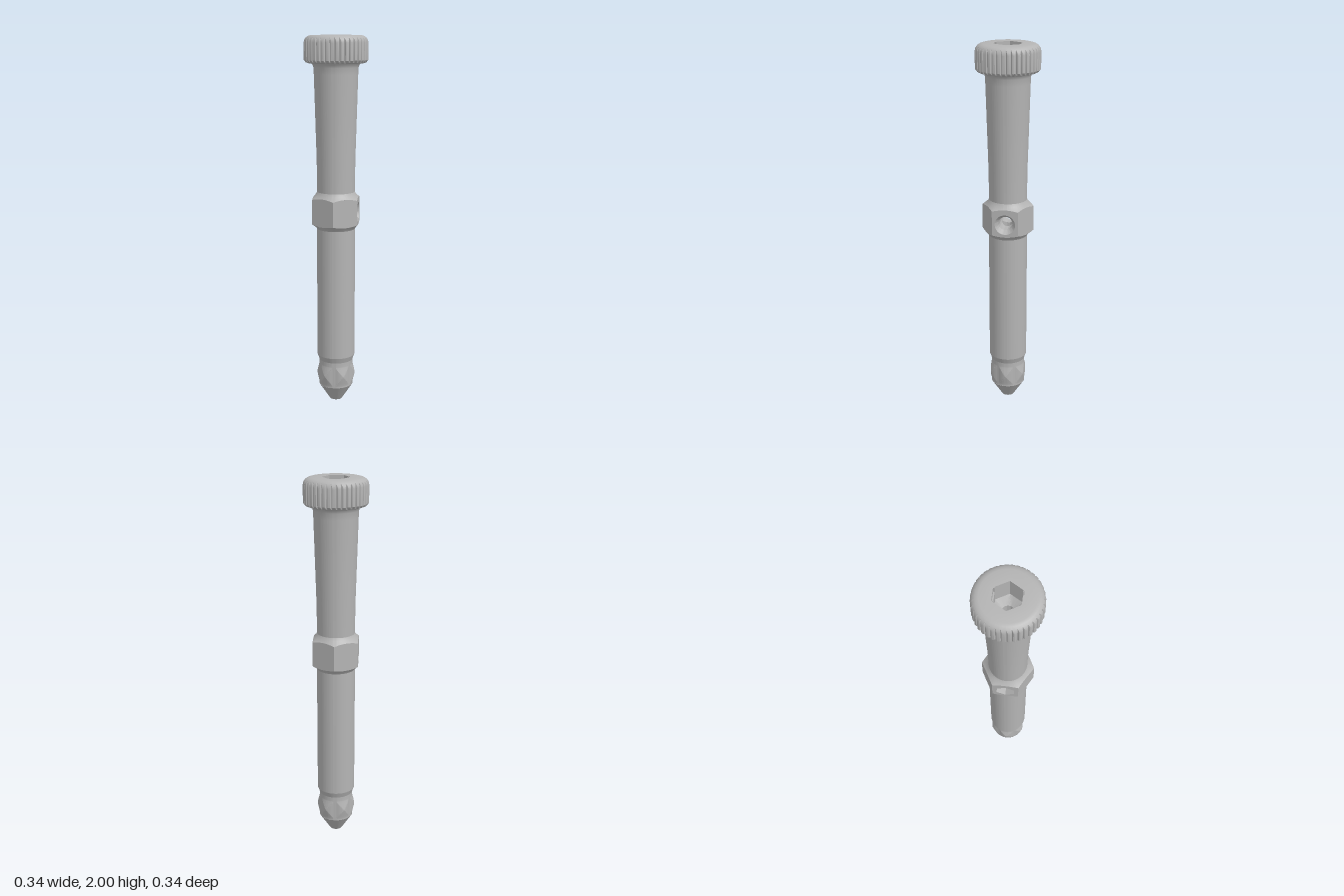
import * as THREE from 'three';
import { toCreasedNormals } from 'three/addons/utils/BufferGeometryUtils.js';

const N = 240, DEG = Math.PI / 180;
const BORE = 0.031, CROSS = 0.037, CROSS_Y = 1.07;   // axial bore and cross hole

// Radius of a hexagon with the given apothem; flats at 30, 90, 150 ... degrees
const hexR = (t, apothem) => {
  const d = ((t / DEG) % 60 + 60) % 60;
  return apothem / Math.cos((d - 30) * DEG);
};

// Skin through rows; each row is [radius, height] or a function angle -> [radius, height]
function loft(rows, crease = 0.5, n = N) {
  const pos = [], idx = [];
  rows.forEach((row, j) => {
    for (let i = 0; i <= n; i++) {
      const t = (i % n) / n * Math.PI * 2;
      const [r, y] = typeof row === 'function' ? row(t) : row;
      pos.push(r * Math.sin(t), y, r * Math.cos(t));
      if (i < n && j < rows.length - 1) {
        const a = j * (n + 1) + i, b = a + n + 1;
        idx.push(a, a + 1, b, a + 1, b + 1, b);
      }
    }
  });
  const g = new THREE.BufferGeometry();
  g.setAttribute('position', new THREE.Float32BufferAttribute(pos, 3));
  g.setIndex(idx);
  return toCreasedNormals(g, crease);
}

export function createModel() {
  const model = new THREE.Group();
  const steel = new THREE.MeshStandardMaterial({ color: 0xb4b4b4, side: THREE.DoubleSide });
  steel.name = 'steel grey';
  const add = (name, geometry) => {
    const m = new THREE.Mesh(geometry, steel);
    m.name = name;
    model.add(m);
    return m;
  };

  // Knurled head: rounded profile cut back by 40 grooves
  const groove = [0, 0, 0.25, 1, 0.25, 0];
  const knurl = (r, y) => t => [
    Math.min(r, 0.168 - 0.009 * groove[Math.round(t / (Math.PI * 2) * N) % 6]), y];
  // Hexagonal socket with two shallow notches at its flats
  const socket = t => hexR(t + 30 * DEG, 0.063);
  const notched = t => Math.abs(Math.tan(t)) < 0.033 / 0.07
    ? 0.07 / Math.abs(Math.cos(t)) : socket(t);
  add('knurledHead', loft([
    [0.122, 1.855], [0.148, 1.857], knurl(0.158, 1.861), knurl(0.168, 1.873),
    knurl(0.168, 1.962), knurl(0.165, 1.976), knurl(0.157, 1.988),
    [0.145, 1.996], [0.13, 2], t => [notched(t), 2],
  ], 0.55));
  add('hexSocket', loft([
    t => [notched(t), 2], t => [notched(t), 1.96], t => [socket(t), 1.96],
    t => [socket(t), 1.87], [BORE, 1.83],
  ]));

  // Tapered upper shaft with a fillet below the head, and straight lower shaft
  add('upperShaft', loft([[0.101, 1.178], [0.103, 1.35], [0.116, 1.8], [0.118, 1.835], [0.122, 1.847], [0.13, 1.857]]));
  add('lowerShaft', loft([[0.092, 0.235], [0.103, 0.265], [0.103, 0.98]], 0.2));

  // Detent ring with six pyramid points
  const detentRows = [];
  for (let k = 0; k <= 26; k++) {
    const y = 0.09 + 0.145 * k / 26;
    detentRows.push(t => {
      const u = ((t / DEG) % 60 - 30) / 26, v = (y - 0.155) / 0.055;
      return [0.092 + 0.013 * Math.max(0, 1 - Math.max(Math.abs(u), Math.abs(v))), y];
    });
  }
  add('detentRing', loft(detentRows, 0.2));

  // Conical tip, open at the bore
  add('tip', loft([[BORE, 0], [0.034, 0], [0.093, 0.09]]));

  // Axial bore, interrupted where the cross hole passes through
  const dip = t => Math.sqrt(Math.max(0, CROSS ** 2 - (BORE * Math.cos(t)) ** 2));
  add('upperBore', loft([[BORE, 1.83], t => [BORE, CROSS_Y + dip(t)]]));
  add('lowerBore', loft([t => [BORE, CROSS_Y - dip(t)], [BORE, 0]]));

  // Hexagonal collar: edges bow along the chamfer cones
  const A = 0.12, half = A * Math.tan(30 * DEG);
  const topY = r => 1.152 - (r - A) * 0.5;
  const lowY = r => 1.0 + (r - A) * 0.5;
  add('collarTopChamfer', loft([
    t => [hexR(t, A), topY(hexR(t, A))], [0.108, 1.166], [0.101, 1.18],
  ], 0.6));
  add('collarBottomChamfer', loft([
    [0.103, 0.978], [0.109, 0.988], t => [hexR(t, A), lowY(hexR(t, A))],
  ], 0.6));

  const pocket = t => hexR(t, 0.047);
  const round = () => 0.054;
  for (let k = 0; k < 6; k++) {
    const shape = new THREE.Shape(), pts = [];
    for (let i = 0; i <= 12; i++) pts.push(-half + 2 * half * i / 12);
    pts.forEach((x, i) => shape[i ? 'lineTo' : 'moveTo'](x, lowY(Math.hypot(x, A))));
    pts.reverse().forEach(x => shape.lineTo(x, topY(Math.hypot(x, A))));
    // Left flat has a round opening, right flat a hexagonal one
    const rim = k === 1 ? round : k === 4 ? pocket : null;
    if (rim) {
      const hole = new THREE.Path();
      for (let i = 0; i < 60; i++) {
        const t = -i * 6 * DEG, r = rim(t);
        hole[i ? 'lineTo' : 'moveTo'](r * Math.sin(t), CROSS_Y + r * Math.cos(t));
      }
      hole.closePath();
      shape.holes.push(hole);
    }
    add('collarFlat', new THREE.ShapeGeometry(shape).translate(0, 0, A).rotateY((30 + 60 * k) * DEG));
  }

  // Cross hole halves, trimmed to meet the axial bore
  const trim = t => Math.sqrt(Math.max(0, BORE ** 2 - (CROSS * Math.sin(t)) ** 2));
  const inner = t => [CROSS, trim(t)];
  const place = (name, rows, side) => {
    const g = loft(rows, 0.5, 60);
    // Turn the loft axis from y to x
    g.rotateZ(-side * 90 * DEG);
    add(name, g.translate(0, CROSS_Y, 0));
  };
  // After turning, the loft angle is swapped by a quarter turn
  const q = f => t => f(t + 90 * DEG);
  place('countersunkCrossHole', [[0.054, A], [CROSS, 0.092], q(t => inner(t))], 1);
  place('hexPocketCrossHole', [
    q(t => [pocket(t), A]), q(t => [pocket(t), 0.075]), [CROSS, 0.07], q(t => inner(t)),
  ], -1);

  return model;
}
